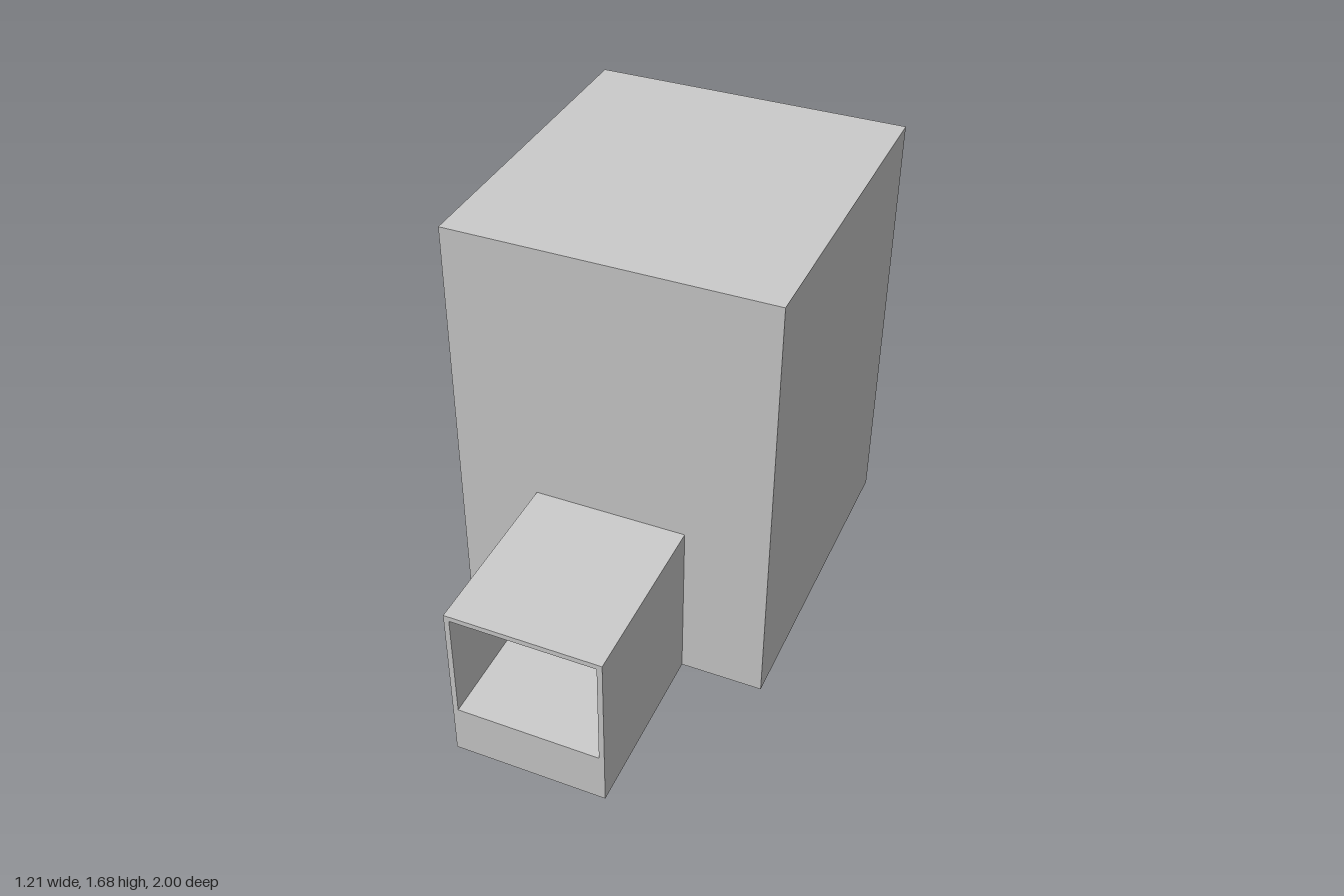
import * as THREE from 'three';

const material = new THREE.MeshStandardMaterial({ color: 0xcccccc, flatShading: true });

const W = 0.605, H = 1.685, T = 0.02;      // tower half width, height, wall thickness
const BACK = -1, FACE = 0.31, FRONT = 1;   // z of tower back, tower front, porch front
const FLOOR = 0.2, LEDGE = 1.17;           // inner floor and ledge heights
const OPEN_W = 0.27, OPEN_H = 0.43;        // opening half width and height
const IN = W - T;

const points = (list) => list.map(([x, y]) => new THREE.Vector2(x, y));
const rect = (halfWidth, y0, y1) =>
  points([[-halfWidth, y0], [halfWidth, y0], [halfWidth, y1], [-halfWidth, y1]]);

// Extrudes an outline along z, with an optional opening cut through it
function slab(name, outline, z0, z1, opening) {
  const shape = new THREE.Shape(outline);
  if (opening) shape.holes.push(new THREE.Path(opening));
  const geometry = new THREE.ExtrudeGeometry(shape, { depth: z1 - z0, bevelEnabled: false });
  geometry.translate(0, 0, z0);
  const mesh = new THREE.Mesh(geometry, material);
  mesh.name = name;
  return mesh;
}

export function createModel() {
  const group = new THREE.Group();
  group.name = 'towerWithPorch';

  const doorway = rect(OPEN_W, FLOOR, FLOOR + OPEN_H);
  const window = rect(OPEN_W, LEDGE, LEDGE + OPEN_H);

  // Tower shell: pierced front and back walls joined by side walls and roof
  group.add(slab('frontWall', rect(W, 0, H), FACE - T, FACE, doorway));
  group.add(slab('backWall', rect(W, 0, H), BACK, BACK + T, window));
  group.add(slab('sideWallsAndRoof', points([
    [-W, 0], [-IN, 0], [-IN, H - T], [IN, H - T], [IN, 0], [W, 0], [W, H], [-W, H],
  ]), BACK + T, FACE - T));

  // Thick floor, drawn as a plan (x, -z), with a shaft notched against the right wall
  const floor = slab('floor', points([
    [-IN, T - FACE], [IN, T - FACE], [IN, -BACK - T], [-IN, -BACK - T],
    [-IN, 0.51], [-OPEN_W, 0.51], [-OPEN_W, 0.23], [-IN, 0.23],
  ]), 0, FLOOR);
  floor.geometry.rotateX(-Math.PI / 2);
  group.add(floor);

  // Raised ledge inside the back window
  group.add(slab('ledge', rect(IN, FLOOR, LEDGE), BACK + T, -0.51));

  // Porch tunnel leading to the doorway
  group.add(slab('porch', rect(OPEN_W + T, 0, FLOOR + OPEN_H + T), FACE, FRONT, doorway));

  return group;
}
